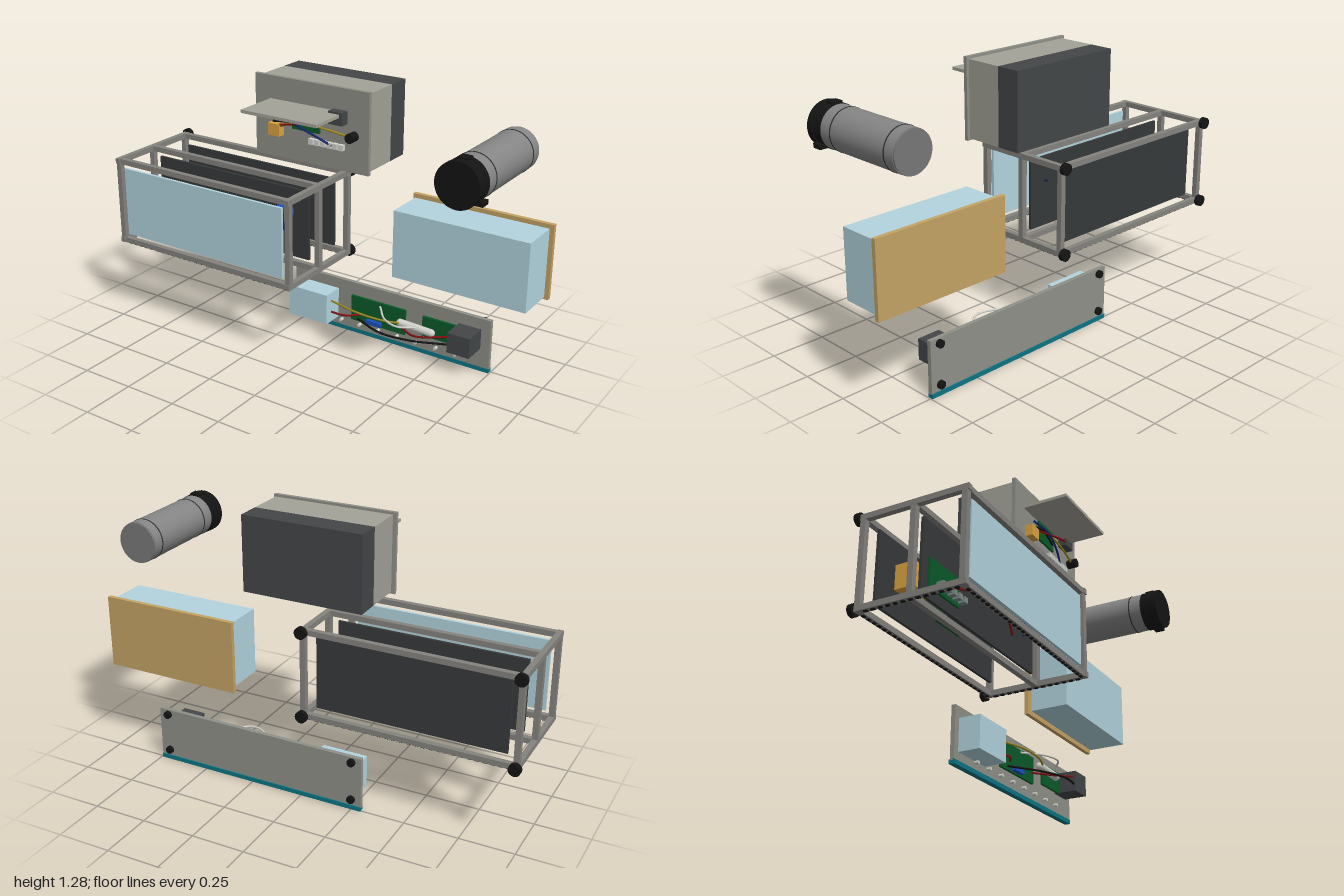
import * as THREE from 'three';

const mats = {};
const mat = (color) => (mats[color] ??= new THREE.MeshStandardMaterial({ color }));
const STEEL = 0x85837e, PLATE = 0x8f9088, PALE = 0xa3a298, DARK = 0x434648, PANEL = 0x36393a,
  BLACK = 0x141414, GLASS = 0xb2d4de, WOOD = 0xc4a364, GREEN = 0x0b5a2a, TEAL = 0x0c7583,
  RED = 0x8c1216, BLUE = 0x1a4fbe, NAVY = 0x14296e, YELLOW = 0xa08a20, BROWN = 0x75421f,
  WHITE = 0xd2d2cc, ORANGE = 0xd9a440;

// Box given by its minimum and maximum on each axis
function box(parent, name, color, [x0, x1], [y0, y1], [z0, z1]) {
  const m = new THREE.Mesh(new THREE.BoxGeometry(x1 - x0, y1 - y0, z1 - z0), mat(color));
  m.position.set((x0 + x1) / 2, (y0 + y1) / 2, (z0 + z1) / 2);
  m.name = name;
  parent.add(m);
  return m;
}

// Cylinder along a chosen axis, centred on a point
function rod(parent, name, color, r, len, pos, axis = 'z', sides = 32) {
  const g = new THREE.CylinderGeometry(r, r, len, sides);
  if (axis === 'z') g.rotateX(Math.PI / 2);
  if (axis === 'x') g.rotateZ(Math.PI / 2);
  const m = new THREE.Mesh(g, mat(color));
  m.position.set(...pos);
  m.name = name;
  parent.add(m);
  return m;
}

// Smooth wire through a few points
function wire(parent, color, ...pts) {
  const curve = new THREE.CatmullRomCurve3(pts.map((p) => new THREE.Vector3(...p)));
  const m = new THREE.Mesh(new THREE.TubeGeometry(curve, 28, 0.005, 8), mat(color));
  m.name = 'wire';
  parent.add(m);
}

function group(parent, name) {
  const g = new THREE.Group();
  g.name = name;
  parent.add(g);
  return g;
}

function buildFrame(root) {
  const g = group(root, 'openFrame');
  const t = 0.0125, xs = [-0.975, -0.0125], ys = [0.4025, 0.7975], zs = [0.222, -0.006, -0.24];
  const span = (c) => [c - t, c + t];
  // Long rails, end posts and cross bars
  for (const y of ys) for (const z of zs) box(g, 'longRail', STEEL, [xs[0], xs[1]], span(y), span(z));
  for (const x of xs) {
    for (const z of zs) box(g, 'post', STEEL, span(x), [0.39, 0.81], span(z));
    for (const y of ys) {
      box(g, 'crossBar', STEEL, span(x), span(y), [-0.255, 0.24]);
      rod(g, 'foot', BLACK, 0.027, 0.022, [x, y, -0.265]);
    }
  }
  // Dark slots along the underside
  for (const z of [zs[0], zs[2]])
    for (let i = 0; i < 28; i++) {
      const x = -0.95 + i * 0.0335;
      box(g, 'slot', BLACK, [x, x + 0.018], [0.385, 0.391], [z - 0.006, z + 0.006]);
    }
  for (const x of xs)
    for (let i = 0; i < 13; i++) {
      const z = -0.215 + i * 0.0335;
      box(g, 'slot', BLACK, [x - 0.006, x + 0.006], [0.385, 0.391], [z, z + 0.018]);
    }
  // Clear front panel and two dark inner panels
  box(g, 'frontPanel', GLASS, [-0.945, -0.045], [0.435, 0.765], [0.215, 0.229]);
  box(g, 'middlePanel', PANEL, [-0.925, -0.06], [0.435, 0.765], [-0.01, 0.002]);
  box(g, 'backPanel', PANEL, [-0.925, -0.06], [0.435, 0.765], [-0.215, -0.203]);
  // Circuit board with parts on the middle panel
  box(g, 'circuitBoard', GREEN, [-0.89, -0.68], [0.475, 0.6], [0.008, 0.018]);
  for (let i = 0; i < 5; i++)
    box(g, 'boardPart', 0x7c8a84, [-0.845 + i * 0.038, -0.822 + i * 0.038], [0.49, 0.515], [0.018, 0.05]);
  rod(g, 'blueCapacitor', BLUE, 0.024, 0.07, [-0.165, 0.665, 0.038], 'x');
  // Parts on the back panel
  box(g, 'transformer', ORANGE, [-0.81, -0.68], [0.55, 0.66], [-0.203, -0.11]);
  box(g, 'relayBoard', GREEN, [-0.52, -0.34], [0.54, 0.66], [-0.203, -0.185]);
  box(g, 'relay', DARK, [-0.5, -0.37], [0.56, 0.64], [-0.185, -0.13]);
  wire(g, RED, [-0.76, 0.53, 0.02], [-0.66, 0.54, 0.075], [-0.53, 0.54, 0.1], [-0.4, 0.53, 0.075], [-0.27, 0.53, 0.02]);
  wire(g, YELLOW, [-0.68, 0.6, -0.13], [-0.62, 0.6, -0.07], [-0.54, 0.6, -0.05], [-0.45, 0.6, -0.08], [-0.4, 0.6, -0.14]);
  wire(g, BROWN, [-0.76, 0.6, -0.11], [-0.77, 0.62, -0.05], [-0.76, 0.59, 0.015]);
  wire(g, BROWN, [-0.42, 0.6, -0.13], [-0.37, 0.61, -0.03], [-0.31, 0.64, 0.03]);
  wire(g, NAVY, [-0.14, 0.66, -0.04], [-0.16, 0.63, 0.02], [-0.17, 0.59, 0.04], [-0.18, 0.56, 0.02]);
}

function buildUpperBox(root) {
  const g = group(root, 'controlBox');
  box(g, 'paleHousing', PALE, [-0.29, 0.265], [0.93, 1.27], [-0.146, 0.028]);
  box(g, 'darkHousing', DARK, [-0.29, 0.265], [0.93, 1.27], [-0.257, -0.146]);
  box(g, 'facePlate', PLATE, [-0.305, 0.275], [0.92, 1.28], [0.031, 0.048]);
  // Shelf, its bracket and a knob
  box(g, 'shelf', PALE, [-0.225, 0.155], [1.164, 1.178], [0.048, 0.258]);
  box(g, 'bracket', DARK, [0.1, 0.17], [1.13, 1.186], [0.048, 0.09]);
  rod(g, 'knob', BLACK, 0.021, 0.045, [0.205, 1.083, 0.07]);
  // Round caps below
  for (const x of [-0.165, -0.015, 0.135]) {
    rod(g, 'bottomCap', BLACK, 0.034, 0.014, [x, 0.925, -0.182], 'y');
    rod(g, 'bottomCapTip', BLACK, 0.025, 0.008, [x, 0.917, -0.182], 'y');
  }
  // Electronics on the face
  box(g, 'circuitBoard', GREEN, [-0.105, 0.035], [1.065, 1.16], [0.05, 0.06]);
  box(g, 'orangeModule', ORANGE, [-0.215, -0.155], [1.025, 1.08], [0.048, 0.085]);
  for (let i = 0; i < 6; i++)
    box(g, 'terminal', WHITE, [-0.015 + i * 0.03, 0.008 + i * 0.03], [1.013, 1.038], [0.048, 0.068]);
  wire(g, RED, [-0.19, 1.07, 0.07], [-0.06, 1.1, 0.09], [0.06, 1.135, 0.09], [0.13, 1.155, 0.08]);
  wire(g, BLACK, [-0.2, 1.085, 0.065], [-0.1, 1.1, 0.08], [0.02, 1.095, 0.06]);
  wire(g, NAVY, [-0.16, 1.13, 0.06], [-0.07, 1.1, 0.09], [0.03, 1.06, 0.08], [0.1, 1.025, 0.06]);
  wire(g, YELLOW, [-0.18, 1.06, 0.07], [-0.06, 1.105, 0.08], [0.08, 1.1, 0.08], [0.2, 1.083, 0.07]);
}

function buildSideBox(root) {
  const g = group(root, 'sideBox');
  box(g, 'clearHousing', GLASS, [0.35, 0.98], [0.445, 0.755], [-0.226, -0.041]);
  box(g, 'woodBack', WOOD, [0.335, 0.995], [0.43, 0.77], [-0.256, -0.236]);
  // Small spacers between housing and backing
  for (const y of [0.47, 0.54, 0.66, 0.73])
    for (let i = 0; i < 5; i++) rod(g, 'spacer', STEEL, 0.01, 0.014, [0.385 + i * 0.14, y, -0.231], 'z', 12);
}

function buildTube(root) {
  const g = group(root, 'lensTube');
  const x = 0.803, y = 1.06;
  rod(g, 'barrel', 0x858585, 0.093, 0.45, [x, y, -0.027], 'z', 48);
  for (const z of [0.132, -0.2]) rod(g, 'barrelRing', 0x333333, 0.0945, 0.006, [x, y, z], 'z', 48);
  rod(g, 'endCap', 0x777777, 0.091, 0.01, [x, y, -0.255], 'z', 48);
  // Black lens hood with stepped rim and clamp tab
  rod(g, 'hood', BLACK, 0.093, 0.08, [x, y, 0.237], 'z', 48);
  rod(g, 'hoodRim', BLACK, 0.097, 0.035, [x, y, 0.26], 'z', 48);
  rod(g, 'hoodClamp', BLACK, 0.095, 0.025, [x, y, 0.206], 'z', 48);
  box(g, 'clampTab', BLACK, [0.85, 0.898], [0.983, 1.003], [0.2, 0.245]);
  box(g, 'clampLug', BLACK, [0.78, 0.826], [1.14, 1.162], [0.198, 0.242]);
}

function buildBasePanel(root) {
  const g = group(root, 'basePanel');
  box(g, 'plate', PLATE, [-0.295, 0.745], [0.015, 0.258], [-0.253, -0.233]);
  box(g, 'tealEdge', TEAL, [-0.295, 0.745], [0, 0.02], [-0.258, -0.231]);
  for (const x of [-0.25, 0.7])
    for (const y of [0.05, 0.235]) rod(g, 'foot', BLACK, 0.018, 0.017, [x, y, -0.26]);
  for (let i = 0; i < 8; i++) rod(g, 'screw', WHITE, 0.008, 0.02, [-0.13 + i * 0.102, 0.05, -0.224], 'z', 12);
  // Modules
  box(g, 'clearModule', GLASS, [-0.265, -0.05], [0.057, 0.206], [-0.233, -0.13]);
  box(g, 'mainBoard', GREEN, [0.04, 0.33], [0.08, 0.205], [-0.216, -0.204]);
  box(g, 'smallBoard', GREEN, [0.42, 0.59], [0.105, 0.203], [-0.216, -0.204]);
  box(g, 'darkModule', DARK, [0.59, 0.7], [0.11, 0.206], [-0.233, -0.121]);
  box(g, 'blueConnector', BLUE, [0.13, 0.21], [0.088, 0.108], [-0.204, -0.185]);
  const capsule = new THREE.Mesh(new THREE.CapsuleGeometry(0.018, 0.16, 6, 16), mat(WHITE));
  capsule.name = 'whiteCapsule';
  capsule.rotation.z = Math.PI / 2 - 0.04;
  capsule.position.set(0.405, 0.155, -0.17);
  g.add(capsule);
  // Wiring
  wire(g, YELLOW, [-0.05, 0.165, -0.17], [0.1, 0.168, -0.13], [0.25, 0.165, -0.13], [0.36, 0.16, -0.17]);
  wire(g, RED, [-0.05, 0.107, -0.17], [0.03, 0.115, -0.16], [0.11, 0.125, -0.2]);
  wire(g, BLACK, [0.08, 0.093, -0.2], [0.25, 0.105, -0.12], [0.42, 0.125, -0.1], [0.55, 0.14, -0.12], [0.62, 0.145, -0.14]);
  wire(g, RED, [0.3, 0.125, -0.2], [0.42, 0.135, -0.13], [0.54, 0.165, -0.13], [0.64, 0.195, -0.14]);
  wire(g, WHITE, [0.2, 0.19, -0.2], [0.28, 0.185, -0.11], [0.35, 0.18, -0.09], [0.42, 0.172, -0.14]);
}

export function createModel() {
  const root = new THREE.Group();
  root.name = 'equipmentSet';
  buildFrame(root);
  buildUpperBox(root);
  buildSideBox(root);
  buildTube(root);
  buildBasePanel(root);
  return root;
}
